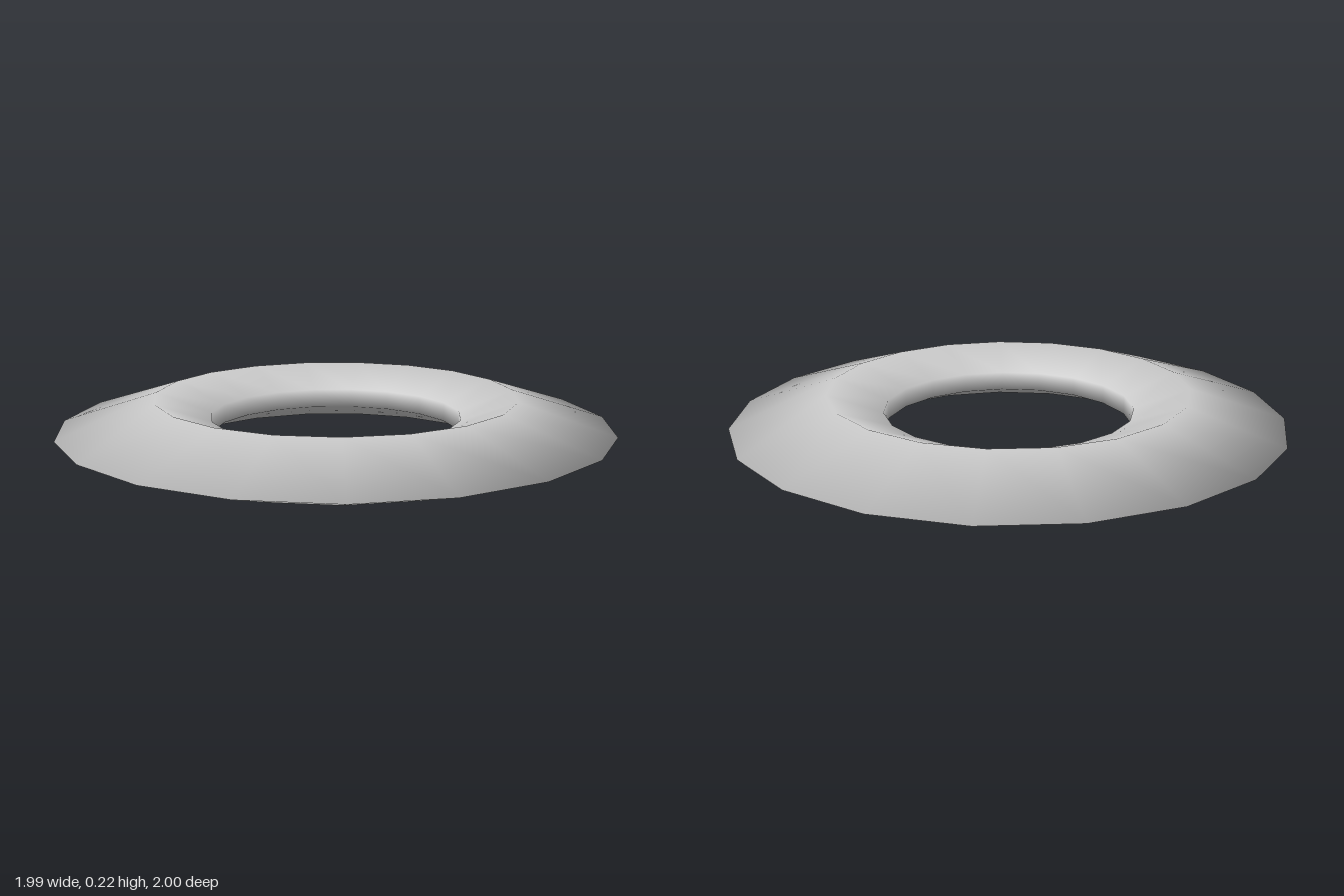
import * as THREE from 'three';
import { mergeVertices } from 'three/addons/utils/BufferGeometryUtils.js';

export function createModel() {
  const group = new THREE.Group();
  group.name = 'ringModel';

  // Five-sided cross-section: sharp outer rim, sloped faces, short inner wall
  const profile = [
    [1.0034, 0.11],
    [0.657, 0.22],
    [0.455, 0.145],
    [0.455, 0.075],
    [0.657, 0],
    [1.0034, 0.11],
  ].map(([r, y]) => new THREE.Vector2(r, y));

  // Nineteen sides, with one corner pointing along +x
  let geometry = new THREE.LatheGeometry(profile, 19, Math.PI / 2);

  // Weld both seams so the shading is smooth all the way round
  geometry.deleteAttribute('uv');
  geometry.deleteAttribute('normal');
  geometry = mergeVertices(geometry, 1e-4);
  geometry.computeVertexNormals();

  const ring = new THREE.Mesh(geometry, new THREE.MeshStandardMaterial({ color: 0xcccccc }));
  ring.name = 'ring';
  ring.position.x = -0.007; // odd side count: centre the extents
  group.add(ring);
  return group;
}
